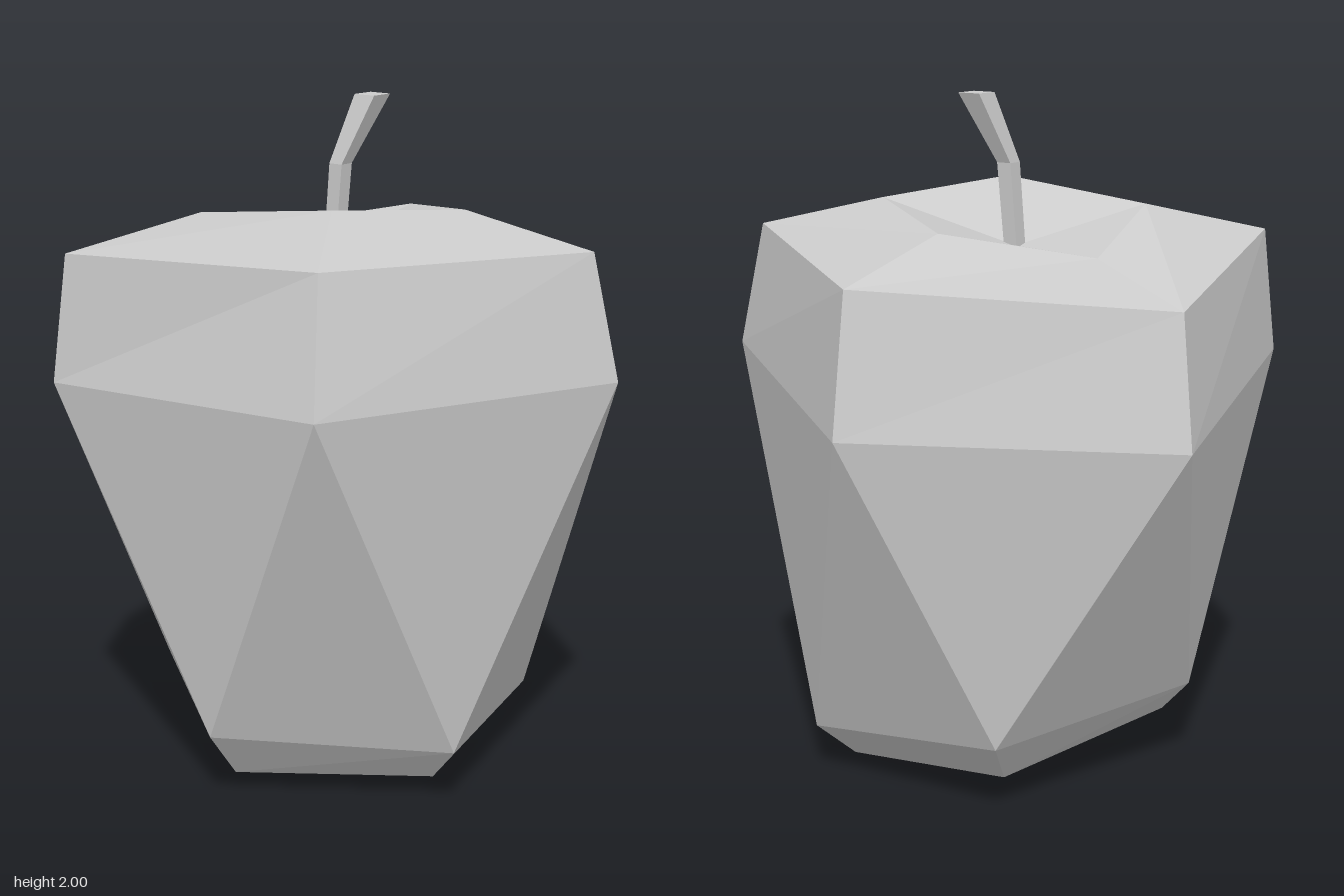
import * as THREE from 'three';

const material = new THREE.MeshStandardMaterial({ color: 0xcccccc, flatShading: true });

// Five-sided rings, counter-clockwise from above, starting at the front corner
const dimple = [-0.105, 1.56, -0.06];
const rim = [[0.02, 1.72, 0.29], [0.3, 1.685, -0.055], [0.02, 1.635, -0.4], [-0.4, 1.565, -0.265], [-0.44, 1.668, 0.15]];
const shoulder = [[0.14, 1.63, 0.72], [0.69, 1.59, -0.03], [0.155, 1.535, -0.79], [-0.69, 1.465, -0.48], [-0.75, 1.572, 0.41]];
const belly = [[0.175, 1.258, 0.848], [0.775, 1.222, -0.01], [0.17, 1.135, -0.848], [-0.73, 1.09, -0.53], [-0.78, 1.2, 0.45]];
// The lower rings are turned by half a side
const hip = [[0.41, 0.178, 0.35], [0.42, 0.143, -0.355], [-0.2, 0.215, -0.58], [-0.62, 0.247, 0.04], [-0.26, 0.215, 0.56]];
const foot = [[0.325, 0.065, 0.28], [0.33, 0.037, -0.27], [-0.187, 0.085, -0.45], [-0.54, 0.16, 0.04], [-0.235, 0.06, 0.435]];
const base = [-0.165, 0, 0];

// Band of quads (or twisted triangles: same index rule) between two rings
function band(tris, lower, upper) {
  const n = lower.length;
  for (let i = 0; i < n; i++) {
    const j = (i + 1) % n;
    tris.push(lower[i], lower[j], upper[j], lower[i], upper[j], upper[i]);
  }
}

// Fan closing a ring to one point
function cap(tris, ring, tip, up) {
  ring.forEach((p, i) => {
    const q = ring[(i + 1) % ring.length];
    tris.push(...(up ? [p, q, tip] : [q, p, tip]));
  });
}

function facetedMesh(name, tris) {
  const geometry = new THREE.BufferGeometry();
  geometry.setAttribute('position', new THREE.Float32BufferAttribute(tris.flat(), 3));
  geometry.computeVertexNormals();
  const mesh = new THREE.Mesh(geometry, material);
  mesh.name = name;
  return mesh;
}

// Square cross-section of the stem, slightly turned
function stemRing([x, y, z], radius) {
  return [0, 1, 2, 3].map((i) => {
    const a = 1.13 - i * Math.PI / 2;
    return [x + radius * Math.cos(a), y, z + radius * Math.sin(a)];
  });
}

export function createModel() {
  const group = new THREE.Group();
  group.name = 'apple';

  // Fruit body with sunken top and pointed underside
  const body = [];
  cap(body, foot, base, false);
  band(body, foot, hip);
  band(body, hip, belly);
  band(body, belly, shoulder);
  band(body, shoulder, rim);
  cap(body, rim, dimple, true);
  group.add(facetedMesh('fruitBody', body));

  // Bent stem, widening to the top
  const rings = [
    stemRing([-0.105, 1.53, -0.06], 0.031),
    stemRing([-0.084, 1.8, -0.061], 0.033),
    stemRing([-0.002, 2, -0.107], 0.052),
  ];
  const stem = [];
  band(stem, rings[0], rings[1]);
  band(stem, rings[1], rings[2]);
  cap(stem, rings[2], [-0.002, 2, -0.107], true);
  cap(stem, rings[0], [-0.105, 1.53, -0.06], false);
  group.add(facetedMesh('stem', stem));

  return group;
}
